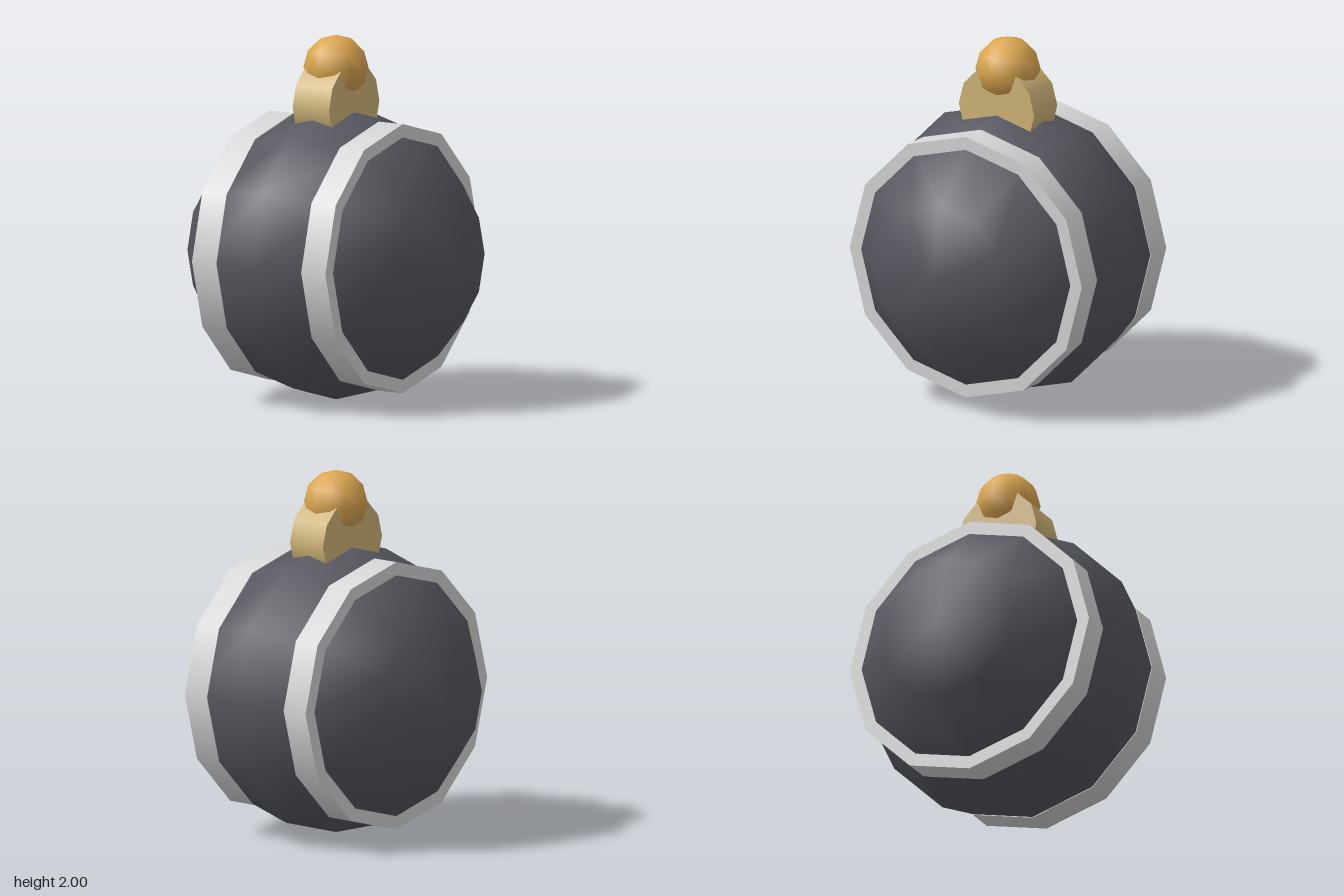
import * as THREE from 'three';

const material = (name, color) => {
  const m = new THREE.MeshStandardMaterial({ color });
  m.name = name;
  return m;
};

export function createModel() {
  const model = new THREE.Group();
  model.name = 'bandedOrnament';

  const charcoal = material('charcoal', 0x56575f);
  const silver = material('silver', 0xd6d6d6);
  const tan = material('tan', 0xd0b578);
  const gold = material('gold', 0xdba650);

  const R = 0.809; // body radius and centre height

  const add = (name, geometry, mat, x, y) => {
    const mesh = new THREE.Mesh(geometry, mat);
    mesh.name = name;
    mesh.position.set(x, y, 0);
    model.add(mesh);
  };
  // twelve-sided drum lying along x, with a corner at the top
  const drum = (radius, width) =>
    new THREE.CylinderGeometry(radius, radius, width, 12).rotateZ(Math.PI / 2);

  // round body, poles to the sides
  add('body', new THREE.SphereGeometry(R, 12, 6).rotateZ(Math.PI / 2), charcoal, 0, R);

  // two bands around the body
  for (const side of [-1, 1]) {
    add(side > 0 ? 'leftBand' : 'rightBand', drum(0.738, 0.16), silver, side * 0.36, R);
  }

  // mount sunk into the top, with a knob resting in it
  add('knobMount', drum(0.24, 0.24), tan, 0, 1.62);
  add('knob', new THREE.SphereGeometry(0.177, 12, 6), gold, 0, 1.823);

  return model;
}
